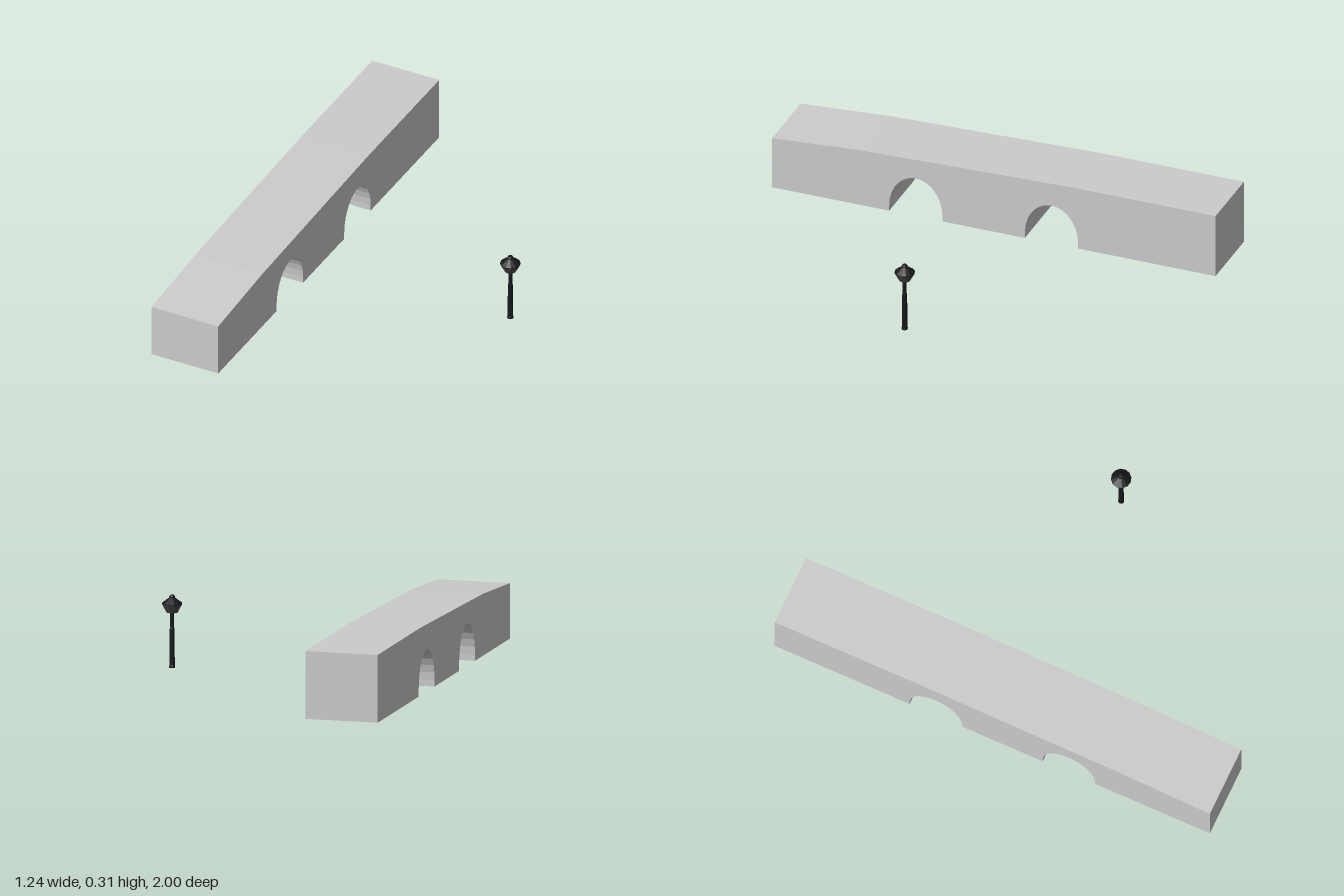
import * as THREE from 'three';

const stone = new THREE.MeshStandardMaterial({ color: 0xcccccc, flatShading: true });
const iron = new THREE.MeshStandardMaterial({ color: 0x16181a, flatShading: true });
const glass = new THREE.MeshStandardMaterial({ color: 0x4a4a4a, flatShading: true });

function addMesh(parent, name, geometry, material) {
  const mesh = new THREE.Mesh(geometry, material);
  mesh.name = name;
  parent.add(mesh);
  return mesh;
}

// Side profile with two arched openings, extruded across the width
function createBridge() {
  const base = 0.014, spring = 0.04, crown = 0.195, halfWidth = 0.12;
  const shape = new THREE.Shape();
  shape.moveTo(-1, base);
  for (const z of [-0.26, 0.352]) {
    shape.lineTo(z - halfWidth, base);
    shape.lineTo(z - halfWidth, spring);
    for (let i = 1; i <= 14; i++) {
      const a = Math.PI * (1 - i / 14);
      shape.lineTo(z + halfWidth * Math.cos(a), spring + (crown - spring) * Math.sin(a));
    }
    shape.lineTo(z + halfWidth, base);
  }
  shape.lineTo(1, base);
  shape.lineTo(1, 0.25);
  shape.lineTo(0.6, 0.277);
  shape.lineTo(-0.35, 0.302);
  shape.lineTo(-1, 0.302);
  shape.closePath();

  const geometry = new THREE.ExtrudeGeometry(shape, { depth: 0.315, bevelEnabled: false });
  geometry.rotateY(-Math.PI / 2);
  geometry.translate(-0.305, 0, 0);
  const group = new THREE.Group();
  addMesh(group, 'archedBridge', geometry, stone);
  return group;
}

// Street lamp made of stacked lathed parts
function createLamp() {
  const lamp = new THREE.Group();
  lamp.name = 'streetLamp';
  const parts = [
    ['lampPost', iron, [[0, 0], [0.013, 0], [0.013, 0.008], [0.0115, 0.011], [0.0105, 0.165],
      [0.0085, 0.172], [0.0085, 0.236], [0, 0.236]]],
    ['lantern', glass, [[0, 0.235], [0.024, 0.235], [0.043, 0.271], [0, 0.271]]],
    ['lanternRoof', iron, [[0, 0.271], [0.043, 0.271], [0.043, 0.275], [0.012, 0.298], [0, 0.298]]],
    ['finial', iron, [[0, 0.296], [0.009, 0.296], [0.013, 0.302], [0.009, 0.309], [0, 0.31]]],
  ];
  for (const [name, material, profile] of parts) {
    const points = profile.map(([r, y]) => new THREE.Vector2(r, y));
    addMesh(lamp, name, new THREE.LatheGeometry(points, 12), material);
  }
  lamp.position.set(0.574, 0, 0.045);
  return lamp;
}

export function createModel() {
  const model = new THREE.Group();
  model.name = 'bridgeAndLamp';
  const bridge = createBridge();
  bridge.name = 'bridge';
  model.add(bridge, createLamp());
  return model;
}
